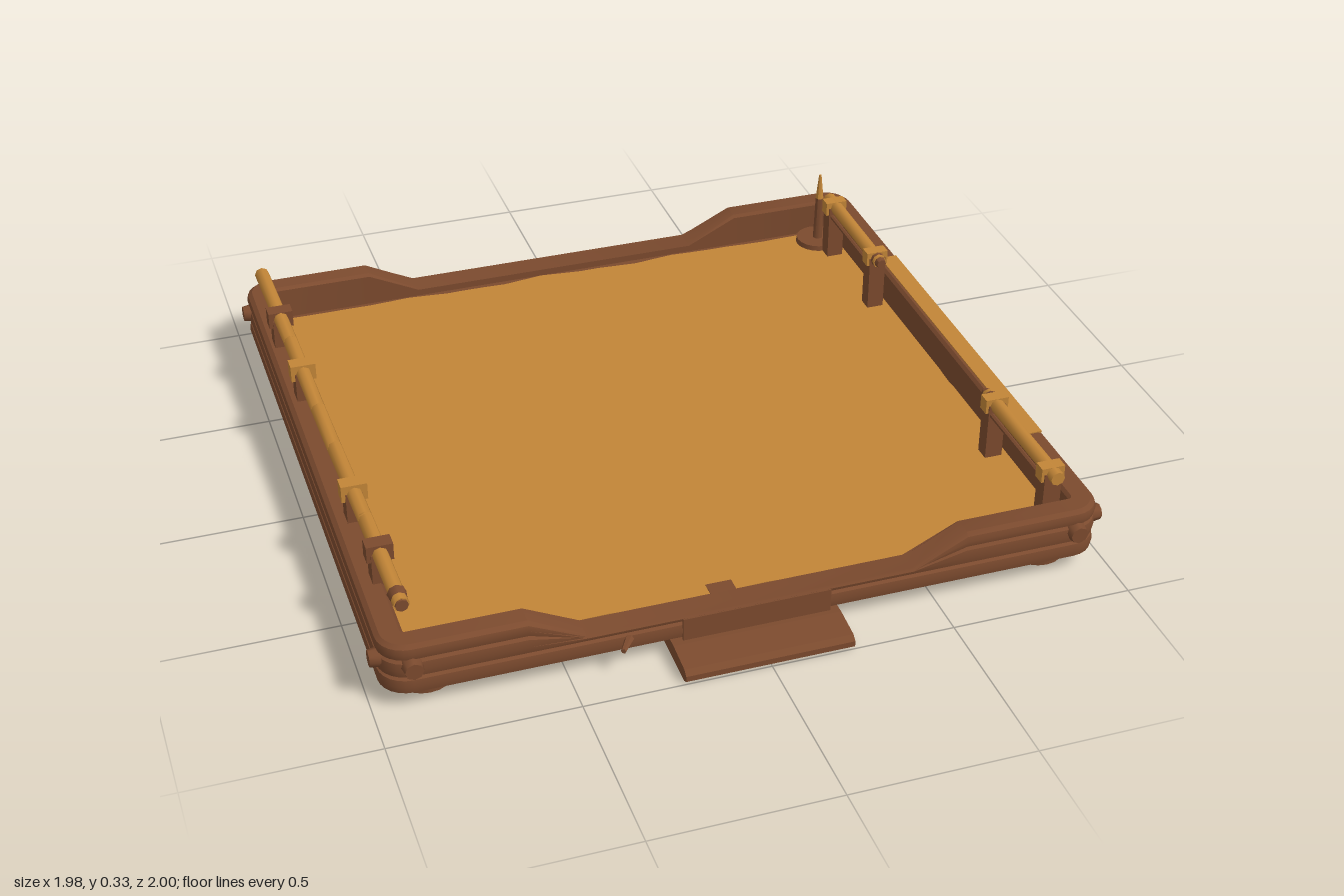
import * as THREE from 'three';
import { toCreasedNormals } from 'three/addons/utils/BufferGeometryUtils.js';

const brown = new THREE.MeshStandardMaterial({ color: 0x7b4a2e });
brown.name = 'brown wood';
const tan = new THREE.MeshStandardMaterial({ color: 0xc28537 });
tan.name = 'golden wood';

export function createModel() {
  const root = new THREE.Group();
  root.name = 'fencedPlatform';

  const add = (name, geo, mat, x = 0, y = 0, z = 0) => {
    const m = new THREE.Mesh(geo, mat);
    m.name = name;
    m.position.set(x, y, z);
    root.add(m);
    return m;
  };
  const box = (name, w, h, d, mat, x, y, z) => add(name, new THREE.BoxGeometry(w, h, d), mat, x, y, z);
  // Round pole between two points
  const pole = (name, a, b, ra, rb, mat, sides = 8) => {
    const A = new THREE.Vector3(...a), B = new THREE.Vector3(...b);
    const dir = B.clone().sub(A);
    const geo = toCreasedNormals(new THREE.CylinderGeometry(rb, ra, dir.length(), sides), 0.9);
    const m = add(name, geo, mat);
    m.position.copy(A).add(B).multiplyScalar(0.5);
    m.quaternion.setFromUnitVectors(new THREE.Vector3(0, 1, 0), dir.normalize());
    return m;
  };

  // Frame: log-stack profile swept round a rounded rectangle, dipping at front and back
  const X = 0.975, ZF = 0.885, ZB = -0.98, R = 0.08, LOW = 0.12;
  const profile = [
    [-0.075, 0.05], [-0.02, 0.05], [-0.004, 0.06], [0, 0.08], [-0.004, 0.098], [-0.014, 0.104],
    [-0.004, 0.11], [0, 0.13], [-0.004, 0.15], [-0.014, 0.156], [-0.004, 0.163], [0, 0.18],
    [-0.004, 0.194], [-0.016, 0.203], [-0.066, 0.203], [-0.075, 0.195],
  ];
  const path = [];
  const corner = (cx, cz, start) => {
    for (let i = 0; i <= 6; i++) {
      const a = start + (i / 6) * Math.PI / 2;
      path.push([cx + R * Math.cos(a), cz + R * Math.sin(a), Math.cos(a), Math.sin(a)]);
    }
  };
  const dips = [0.58, 0.43, -0.45, -0.6];
  corner(X - R, ZF - R, 0);
  dips.forEach(x => path.push([x, ZF, 0, 1]));
  corner(-X + R, ZF - R, Math.PI / 2);
  corner(-X + R, ZB + R, Math.PI);
  dips.slice().reverse().forEach(x => path.push([x, ZB, 0, -1]));
  corner(X - R, ZB + R, Math.PI * 1.5);
  const pos = [], idx = [], n = profile.length;
  path.forEach(([x, z, nx, nz], i) => {
    const k = x > -0.5 && x < 0.5 ? 0.02 : 1;
    profile.forEach(([o, y], j) => {
      pos.push(x + o * nx, y > LOW ? LOW + (y - LOW) * k : y, z + o * nz);
      const i2 = (i + 1) % path.length, j2 = (j + 1) % n;
      const a = i * n + j, b = i * n + j2, c = i2 * n + j, d = i2 * n + j2;
      idx.push(a, b, c, b, d, c);
    });
  });
  const frame = new THREE.BufferGeometry();
  frame.setAttribute('position', new THREE.Float32BufferAttribute(pos, 3));
  frame.setIndex(idx);
  add('frame', toCreasedNormals(frame, 0.6), brown);

  // Floor slab with ragged golden faces above and below
  box('floorSlab', 1.83, 0.035, 1.74, brown, 0, 0.084, -0.047);
  const ragged = (name, x0, x1, z0, z1, cut, amp, y) => {
    const corners = [
      [x0 + cut, z0], [x1 - cut, z0], [x1, z0 + cut], [x1, z1 - cut],
      [x1 - cut, z1], [x0 + cut, z1], [x0, z1 - cut], [x0, z0 + cut],
    ];
    const pts = [];
    corners.forEach(([ax, az], s) => {
      const [bx, bz] = corners[(s + 1) % 8];
      const len = Math.hypot(bx - ax, bz - az), steps = len > 0.5 ? 28 : 3;
      for (let i = 0; i < steps; i++) {
        const t = i / steps, w = amp * (Math.sin(t * 23 + s) + 0.6 * Math.sin(t * 51 + s * 2)) * Math.sin(Math.PI * t);
        pts.push(new THREE.Vector2(ax + (bx - ax) * t - w * (bz - az) / len, az + (bz - az) * t + w * (bx - ax) / len));
      }
    });
    const geo = new THREE.ExtrudeGeometry(new THREE.Shape(pts), { depth: 0.006, bevelEnabled: false });
    geo.rotateX(Math.PI / 2);
    add(name, geo, tan, 0, y, 0);
  };
  ragged('floorTop', -0.905, 0.905, -0.885, 0.797, 0.05, 0.007, 0.107);
  ragged('floorUnderside', -0.86, 0.86, -0.86, 0.77, 0.14, 0.011, 0.067);
  box('floorPatch', 0.07, 0.004, 0.04, brown, -0.06, 0.107, 0.775);

  // Worn strip on top of the right-hand wall
  box('wallStrip', 0.052, 0.006, 1.02, tan, 0.942, 0.203, 0.0);

  // Feet and corner pegs
  for (const s of [-1, 1]) {
    for (const z of [0.755, -0.84]) {
      pole('foot', [s * 0.845, 0.008, z], [s * 0.845, 0.07, z], 0.078, 0.083, brown, 20);
    }
    for (const [z, end, dz] of [[0.815, ZF, 1], [-0.9, ZB, -1]]) {
      pole('sidePeg', [s * 0.93, 0.14, z], [s * 0.992, 0.14, z], 0.032, 0.022, brown);
      pole('endPeg', [s * 0.895, 0.14, end - dz * 0.04], [s * 0.895, 0.14, end + dz * 0.017], 0.034, 0.024, brown);
    }
  }

  // Front step and the panel above it
  const step = new THREE.Shape([
    [0.82, 0.012], [0.985, 0.006], [1.0, 0.014], [1.0, 0.03], [0.985, 0.042], [0.9, 0.052], [0.82, 0.052],
  ].map(p => new THREE.Vector2(...p)));
  const stepGeo = new THREE.ExtrudeGeometry(step, { depth: 0.455, bevelEnabled: false });
  stepGeo.rotateY(-Math.PI / 2);
  add('step', stepGeo, brown, 0.225, 0, 0);
  box('frontPanel', 0.4, 0.066, 0.008, brown, 0, 0.087, 0.885);
  pole('twig', [-0.34, 0.09, 0.88], [-0.37, 0.09, 0.925], 0.012, 0.007, brown, 6);

  // Long rail with posts and bindings
  const railX = z => -0.915 + 0.018 * z;
  const rail = [[-0.85, 0.292], [-0.45, 0.295], [-0.1, 0.284], [0.1, 0.283], [0.45, 0.29], [0.815, 0.288]];
  for (let i = 0; i < rail.length - 1; i++) {
    const [za, ya] = rail[i], [zb, yb] = rail[i + 1];
    pole('longRail', [railX(za), ya, za - 0.005], [railX(zb), yb, zb + 0.005], 0.021, 0.021, tan);
  }
  for (const z of [-0.6, -0.3, 0.31, 0.585]) {
    box('longRailPost', 0.045, 0.2, 0.05, brown, railX(z) - 0.002, 0.19, z);
    box('longRailBinding', 0.07, 0.048, 0.042, z === 0.31 || z === -0.3 ? tan : brown, railX(z), 0.291, z);
  }
  pole('railTip', [railX(0.77), 0.288, 0.77], [railX(0.82), 0.288, 0.825], 0.025, 0.017, brown);

  // Two short rails on the other side
  for (const [za, zb] of [[0.43, 0.775], [-0.42, -0.75]]) {
    const d = Math.sign(za);
    pole('shortRail', [0.856, 0.273, za - d * 0.04], [0.858, 0.275, zb + d * 0.045], 0.02, 0.02, tan);
    pole('lowerRail', [0.842, 0.246, za], [0.842, 0.248, zb], 0.007, 0.007, brown, 6);
    for (const z of [za, zb]) {
      box('shortRailPost', 0.05, 0.18, 0.044, brown, 0.857, 0.185, z);
      box('shortRailBinding', 0.066, 0.042, 0.036, tan, 0.857, 0.273, z);
    }
    pole('shortRailTip', [0.856, 0.273, za - d * 0.055], [0.856, 0.273, za - d * 0.02], 0.014, 0.022, brown);
  }

  // Corner spike on a round base
  pole('spikeBase', [0.84, 0.09, -0.835], [0.84, 0.122, -0.835], 0.072, 0.066, brown, 20);
  pole('spikeShaft', [0.84, 0.11, -0.835], [0.842, 0.26, -0.837], 0.016, 0.013, brown);
  pole('spikeTip', [0.842, 0.26, -0.837], [0.842, 0.34, -0.838], 0.013, 0.004, tan);

  return root;
}
